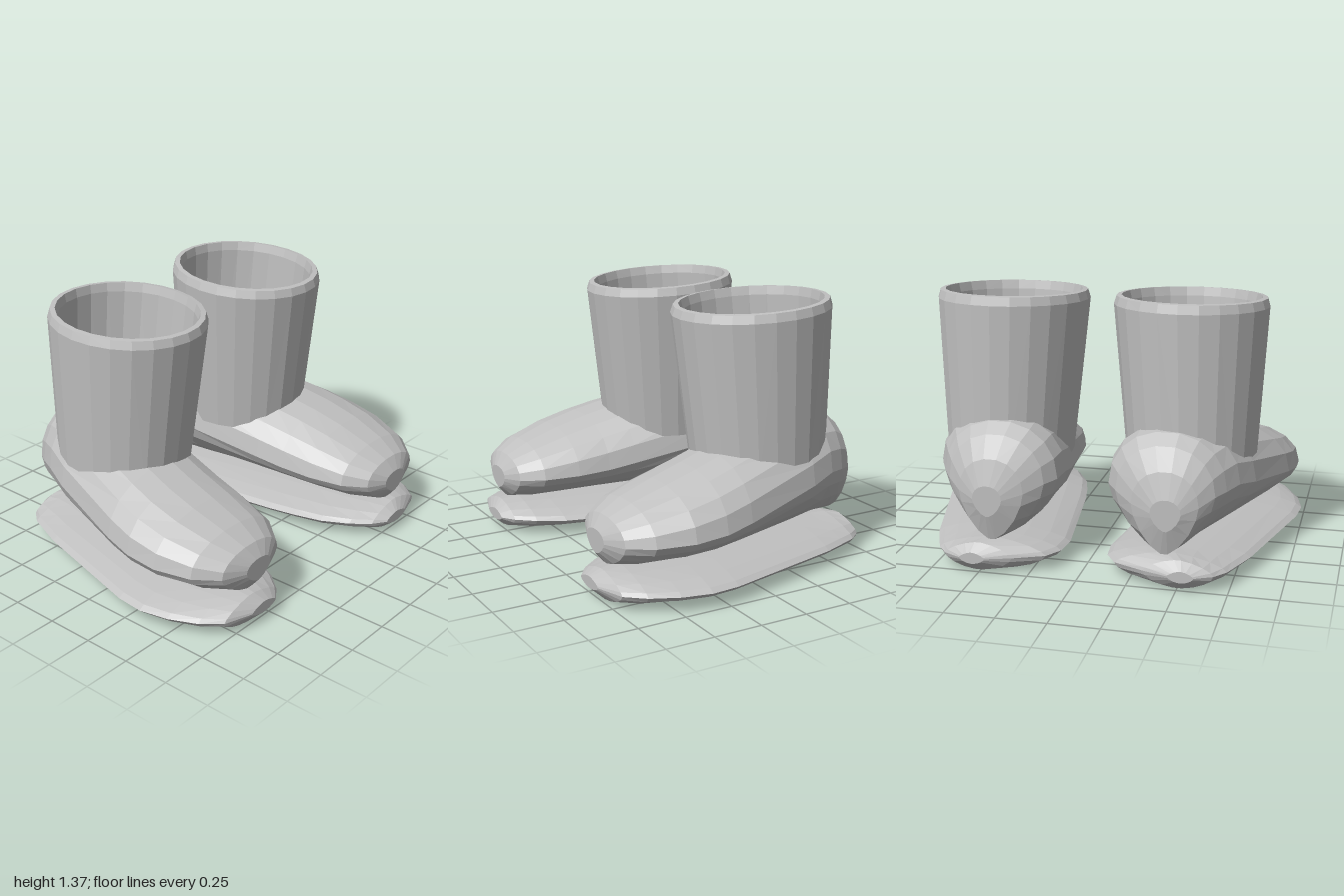
import * as THREE from 'three';

const greyLeather = new THREE.MeshStandardMaterial({ color: 0xc0c0c0 });
greyLeather.name = 'greyLeather';

// Skins a list of equal-sized rings with flat facets; side = -1 mirrors in x
function loft(rings, side, capped) {
  const n = rings[0].length;
  const points = rings.flat();
  const index = [];
  const face = (a, b, c) => (side > 0 ? index.push(a, b, c) : index.push(a, c, b));
  for (let i = 0; i < rings.length - 1; i++) {
    for (let j = 0; j < n; j++) {
      const k = (j + 1) % n;
      const a = i * n + j, b = i * n + k;
      face(a, a + n, b);
      face(b, a + n, b + n);
    }
  }
  if (capped) {
    const last = (rings.length - 1) * n;
    for (let j = 1; j < n - 1; j++) {
      face(0, j, j + 1);
      face(last, last + j + 1, last + j);
    }
  }
  const indexed = new THREE.BufferGeometry();
  indexed.setAttribute('position', new THREE.Float32BufferAttribute(
    points.flatMap(([x, y, z]) => [x * side, y, z]), 3));
  indexed.setIndex(index);
  const geometry = indexed.toNonIndexed();
  geometry.computeVertexNormals();
  return geometry;
}

// Upright cross-section: rounded above the widest line, tapering to a keel below
function section([z, xIn, xOut, yLow, yMid, yHigh], upper, lower, n = 18) {
  const ring = [];
  for (let j = 0; j < n; j++) {
    const t = (j / n) * Math.PI * 2;
    const c = Math.cos(t), s = Math.sin(t);
    const e = 2 / (s >= 0 ? upper : lower);
    const h = s >= 0 ? yHigh - yMid : yMid - yLow;
    ring.push([
      (xIn + xOut) / 2 + ((xOut - xIn) / 2) * Math.sign(c) * Math.abs(c) ** e,
      yMid + h * Math.sign(s) * Math.abs(s) ** e,
      z,
    ]);
  }
  return ring;
}

// Shaft ring: an ellipse tilted so that its back sits higher
function hoop([y, cx, cz, rx, rz, tilt], n = 24) {
  return Array.from({ length: n }, (_, j) => {
    const t = (j / n) * Math.PI * 2;
    return [cx + rx * Math.cos(t), y - tilt * Math.sin(t), cz + rz * Math.sin(t)];
  });
}

// z, inner x, outer x, lowest y, widest y, highest y
const footSections = [
  [0.755, 0.5, 0.68, 0.23, 0.3, 0.35],
  [0.71, 0.39, 0.81, 0.175, 0.31, 0.415],
  [0.6, 0.3, 0.91, 0.165, 0.32, 0.475],
  [0.42, 0.25, 0.968, 0.165, 0.33, 0.54],
  [0.25, 0.225, 0.97, 0.165, 0.345, 0.59],
  [0.1, 0.2, 0.945, 0.165, 0.37, 0.63],
  [-0.35, 0.125, 0.825, 0.165, 0.45, 0.735],
  [-0.5, 0.115, 0.765, 0.165, 0.48, 0.765],
  [-0.6, 0.13, 0.715, 0.165, 0.47, 0.75],
  [-0.67, 0.18, 0.67, 0.165, 0.46, 0.7],
  [-0.73, 0.27, 0.6, 0.17, 0.42, 0.59],
  [-0.765, 0.37, 0.52, 0.3, 0.39, 0.46],
];

const soleSections = [
  [0.785, 0.49, 0.67, 0.055, 0.085, 0.115],
  [0.735, 0.42, 0.82, 0.01, 0.085, 0.155],
  [0.64, 0.34, 0.9, 0, 0.085, 0.165],
  [0.5, 0.265, 0.965, 0, 0.085, 0.165],
  [0.35, 0.225, 0.998, 0, 0.085, 0.165],
  [0.2, 0.195, 0.985, 0, 0.085, 0.165],
  [-0.45, 0.107, 0.82, 0, 0.085, 0.165],
  [-0.58, 0.12, 0.77, 0, 0.085, 0.165],
  [-0.67, 0.175, 0.735, 0, 0.085, 0.165],
  [-0.74, 0.33, 0.68, 0.01, 0.085, 0.155],
  [-0.785, 0.46, 0.59, 0.055, 0.085, 0.115],
];

// y, centre x, centre z, radius x, radius z, tilt: up the outside, over the rim, down the lining
const shaftHoops = [
  [0.5, 0.48, -0.235, 0.327, 0.353, 0],
  [1.3, 0.461, -0.195, 0.388, 0.41, 0.022],
  [1.342, 0.461, -0.195, 0.375, 0.397, 0.023],
  [1.345, 0.461, -0.195, 0.35, 0.37, 0.022],
  [1.3, 0.461, -0.197, 0.338, 0.36, 0.022],
  [0.5, 0.47, -0.255, 0.288, 0.33, 0],
];

function makeBoot(name, side) {
  const boot = new THREE.Group();
  boot.name = name;
  const add = (part, geometry) => {
    const mesh = new THREE.Mesh(geometry, greyLeather);
    mesh.name = part;
    boot.add(mesh);
  };
  add('sole', loft(soleSections.map((s) => section(s, 1.5, 1.7)), side, true));
  add('foot', loft(footSections.map((s) => section(s, 2.15, 1.55)), side, true));
  add('shaft', loft(shaftHoops.map((h) => hoop(h)), side, false));
  return boot;
}

export function createModel() {
  const model = new THREE.Group();
  model.name = 'pairOfBoots';
  model.add(makeBoot('leftBoot', 1), makeBoot('rightBoot', -1));
  return model;
}
